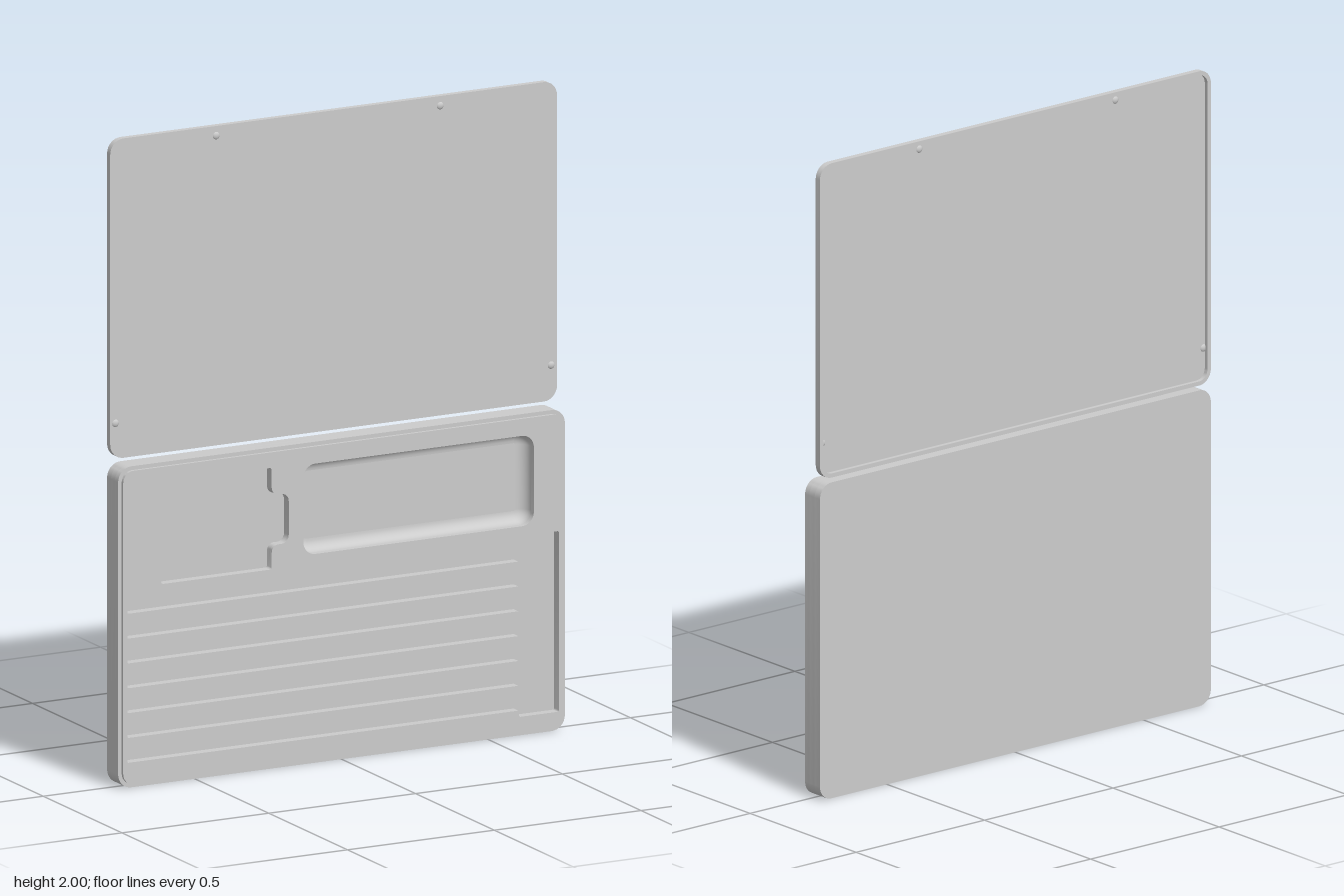
import * as THREE from 'three';
import { mergeVertices, toCreasedNormals } from 'three/addons/utils/BufferGeometryUtils.js';

const material = new THREE.MeshStandardMaterial({ color: 0xcccccc });
const doubleSided = new THREE.MeshStandardMaterial({ color: 0xcccccc, side: THREE.DoubleSide });

// Polygon outline [x, y, radius] with every corner rounded by its own radius
function roundedPoly(corners, segments = 8) {
  const points = [];
  corners.forEach(([x, y, r], i) => {
    const p = new THREE.Vector2(x, y);
    const prev = corners[(i + corners.length - 1) % corners.length];
    const next = corners[(i + 1) % corners.length];
    const toPrev = new THREE.Vector2(prev[0] - x, prev[1] - y).normalize();
    const toNext = new THREE.Vector2(next[0] - x, next[1] - y).normalize();
    if (r <= 0) { points.push(p); return; }
    const along = (dir, d) => p.clone().addScaledVector(dir, d);
    const arc = new THREE.CubicBezierCurve(along(toPrev, r), along(toPrev, r * 0.45), along(toNext, r * 0.45), along(toNext, r));
    points.push(...arc.getPoints(segments));
  });
  return points;
}

const roundedRect = (x0, y0, x1, y1, r) =>
  roundedPoly([[x0, y0, r], [x1, y0, r], [x1, y1, r], [x0, y1, r]]);

// Slab between two z levels, with holes cut through it
function slab(name, outline, holes, z0, z1) {
  const shape = new THREE.Shape(outline);
  shape.holes = holes.map((h) => new THREE.Path(h));
  const geo = new THREE.ExtrudeGeometry(shape, { depth: z1 - z0, bevelEnabled: false });
  geo.translate(0, 0, z0);
  const mesh = new THREE.Mesh(toCreasedNormals(geo, 0.6), material);
  mesh.name = name;
  return mesh;
}

// Curved transition between a pocket's walls and its floor
function pocketFillet(x0, y0, x1, y1, radius, fillet, zFloor) {
  const steps = 8, position = [], index = [];
  let n = 0;
  for (let j = 0; j <= steps; j++) {
    const a = (j / steps) * Math.PI / 2;
    const inset = fillet * (1 - Math.cos(a));
    const z = zFloor + fillet * (1 - Math.sin(a));
    const ring = roundedRect(x0 + inset, y0 + inset, x1 - inset, y1 - inset, radius - inset);
    n = ring.length;
    ring.forEach((p) => position.push(p.x, p.y, z));
  }
  for (let j = 0; j < steps; j++) {
    for (let i = 0; i < n; i++) {
      const a = j * n + i, b = j * n + (i + 1) % n;
      index.push(a, b, b + n, a, b + n, a + n);
    }
  }
  let geo = new THREE.BufferGeometry();
  geo.setAttribute('position', new THREE.Float32BufferAttribute(position, 3));
  geo.setIndex(index);
  geo = mergeVertices(geo);
  geo.computeVertexNormals();
  const mesh = new THREE.Mesh(geo, doubleSided);
  mesh.name = 'trayFillet';
  return mesh;
}

// Comb outline: seven slots opening into one upright channel
function combOutline() {
  const left = -0.735, mouth = 0.6, right = 0.735, r = 0.004;
  const corners = [[mouth, 0.06, r], [right, 0.06, r], [right, 0.62, r], [mouth, 0.62, r]];
  for (let i = 0; i < 7; i++) {
    const top = 0.598 - i * 0.077, bottom = top - 0.056;
    corners.push([mouth, top, r], [left, top, r], [left, bottom, r], [mouth, bottom, r]);
  }
  return roundedPoly(corners, 3);
}

function createBase() {
  const base = new THREE.Group();
  base.name = 'base';
  const outer = roundedRect(-0.761, 0, 0.761, 0.995, 0.045);
  const raised = roundedRect(-0.749, 0.012, 0.749, 0.983, 0.035);

  // Square pocket with a side tab
  const tabPocket = roundedPoly([
    [-0.62, 0.62, 0.008], [-0.243, 0.62, 0.008], [-0.243, 0.695, 0.022], [-0.185, 0.695, 0.025],
    [-0.185, 0.85, 0.025], [-0.243, 0.85, 0.022], [-0.243, 0.935, 0.008], [-0.62, 0.935, 0.008],
  ], 5);
  const tray = [-0.135, 0.65, 0.65, 0.93, 0.04];
  const trayHole = roundedRect(...tray);
  const pockets = [tabPocket, trayHole, combOutline()];

  base.add(
    slab('baseFloor', outer, [], -0.04, -0.015),
    slab('baseMiddle', outer, [trayHole], -0.015, 0.01),
    slab('baseUpper', outer, pockets, 0.01, 0.03),
    slab('raisedFace', raised, pockets, 0.03, 0.04),
    pocketFillet(...tray, 0.035, -0.015),
  );
  return base;
}

function createLid() {
  const lid = new THREE.Group();
  lid.name = 'lid';
  const outer = roundedRect(-0.761, 1.01, 0.761, 2, 0.045);
  const inner = roundedRect(-0.748, 1.023, 0.748, 1.987, 0.033);
  lid.add(
    slab('lidPlate', outer, [], -0.027, -0.02),
    slab('lidRim', outer, [inner], -0.04, -0.027),
  );

  // Small domed studs showing on both faces of the plate
  const dome = new THREE.SphereGeometry(0.013, 20, 12);
  for (const [x, y] of [[-0.4, 1.97], [0.363, 1.97], [-0.743, 1.12], [0.741, 1.12]]) {
    const stud = new THREE.Mesh(dome, material);
    stud.name = 'stud';
    stud.scale.z = 0.6;
    stud.position.set(x, y, -0.0235);
    lid.add(stud);
  }
  return lid;
}

export function createModel() {
  const model = new THREE.Group();
  model.name = 'openCase';
  model.add(createBase(), createLid());
  return model;
}
